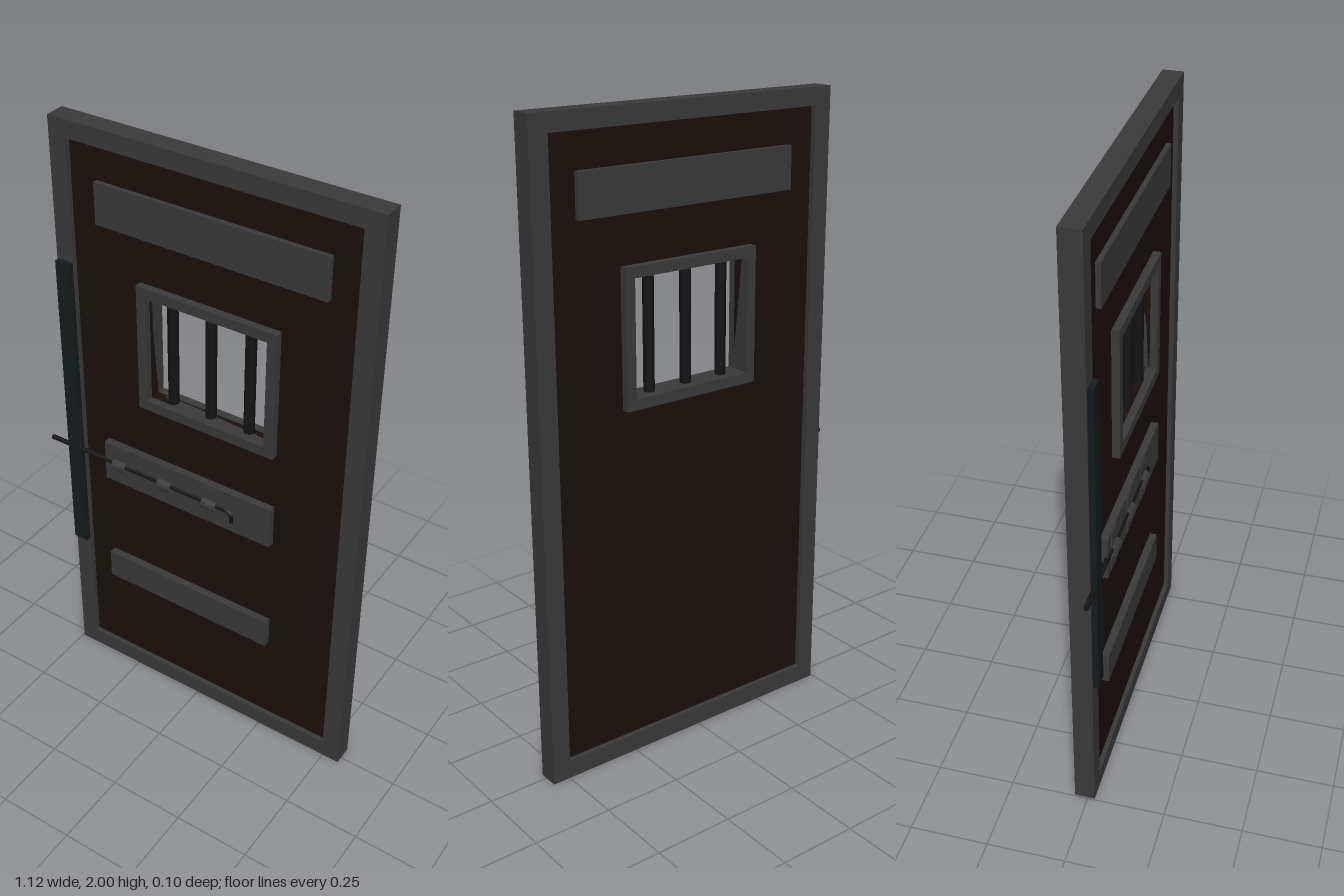
import * as THREE from 'three';

const steel = new THREE.MeshStandardMaterial({ color: 0x3a3a3a });
const wood = new THREE.MeshStandardMaterial({ color: 0x1a100c });
const iron = new THREE.MeshStandardMaterial({ color: 0x141414 });
const strikeSteel = new THREE.MeshStandardMaterial({ color: 0x151b1d });

export function createModel() {
  const door = new THREE.Group();
  door.name = 'cellDoor';

  const add = (name, geometry, material) => {
    const mesh = new THREE.Mesh(geometry, material);
    mesh.name = name;
    door.add(mesh);
    return mesh;
  };
  const trace = (path, [x0, x1, y0, y1]) =>
    path.moveTo(x0, y0).lineTo(x1, y0).lineTo(x1, y1).lineTo(x0, y1).closePath();

  // Rectangular slab with a rectangular opening, from z0 to z1
  const ring = (name, outer, inner, z0, z1, material) => {
    const shape = new THREE.Shape();
    const hole = new THREE.Path();
    trace(shape, outer);
    trace(hole, inner);
    shape.holes.push(hole);
    const geo = new THREE.ExtrudeGeometry(shape, { depth: z1 - z0, bevelEnabled: false });
    return add(name, geo.translate(0, 0, z0), material);
  };
  const box = (name, [x0, x1, y0, y1], z0, z1, material) =>
    add(name, new THREE.BoxGeometry(x1 - x0, y1 - y0, z1 - z0)
      .translate((x0 + x1) / 2, (y0 + y1) / 2, (z0 + z1) / 2), material);

  // Outer frame, recessed panel and barred window
  const windowHole = [-0.174, 0.236, 1.17, 1.526];
  ring('frame', [-0.495, 0.557, 0, 2], [-0.435, 0.497, 0.06, 1.945], -0.043, 0.022, steel);
  ring('panel', [-0.436, 0.498, 0.059, 1.946], windowHole, -0.028, 0.007, wood);
  ring('windowFrame', [-0.204, 0.267, 1.137, 1.559], windowHole, -0.054, 0.031, steel);
  for (const x of [-0.105, 0.028, 0.161]) {
    const bar = add('windowBar', new THREE.CylinderGeometry(0.017, 0.017, 0.37, 16), iron);
    bar.position.set(x, 1.348, -0.011);
  }

  // Reinforcing plates; the top one passes through to the back
  box('topPlate', [-0.346, 0.41, 1.706, 1.838], -0.043, 0.022, steel);
  box('boltPlate', [-0.346, 0.267, 0.803, 0.946], 0, 0.031, steel);
  box('bottomPlate', [-0.346, 0.267, 0.382, 0.484], 0, 0.031, steel);
  box('strikePlate', [-0.489, -0.438, 0.494, 1.554], 0.015, 0.04, strikeSteel);

  // Sliding bolt with a handle bent downwards
  const boltY = 0.875, boltZ = 0.029, r = 0.008;
  const at = (x, y) => new THREE.Vector3(x, y, boltZ);
  const path = new THREE.CurvePath();
  path.add(new THREE.LineCurve3(at(-0.562, boltY), at(0.1, boltY)));
  path.add(new THREE.QuadraticBezierCurve3(at(0.1, boltY), at(0.131, boltY), at(0.131, 0.855)));
  path.add(new THREE.LineCurve3(at(0.131, 0.855), at(0.131, 0.838)));
  add('bolt', new THREE.TubeGeometry(path, 160, r, 12), iron);
  const tip = add('boltTip', new THREE.CircleGeometry(r, 12), iron);
  tip.position.set(-0.562, boltY, boltZ);
  tip.rotation.y = -Math.PI / 2;
  const handleEnd = add('boltHandleEnd', new THREE.CircleGeometry(r, 12), iron);
  handleEnd.position.set(0.131, 0.838, boltZ);
  handleEnd.rotation.x = Math.PI / 2;

  // Arched straps holding the bolt: shape x runs along -z, extrusion along x
  const strap = new THREE.Shape();
  const t = 0.004, arch = 0.02;
  strap.moveTo(0, -0.065).lineTo(-t, -0.065).lineTo(-t, -arch);
  strap.absarc(0, 0, arch, Math.PI * 1.5 - 0.2, Math.PI / 2 + 0.2, true);
  strap.lineTo(-t, 0.065).lineTo(0, 0.065).lineTo(0, arch - t);
  strap.absarc(0, 0, arch - t, Math.PI / 2, Math.PI * 1.5, false);
  strap.closePath();
  const strapGeo = new THREE.ExtrudeGeometry(strap, { depth: 0.05, bevelEnabled: false, curveSegments: 10 })
    .translate(0, 0, -0.025).rotateY(Math.PI / 2);
  for (const x of [-0.285, -0.112, 0.055])
    add('boltStrap', strapGeo, steel).position.set(x, boltY, 0.0305);

  return door;
}
